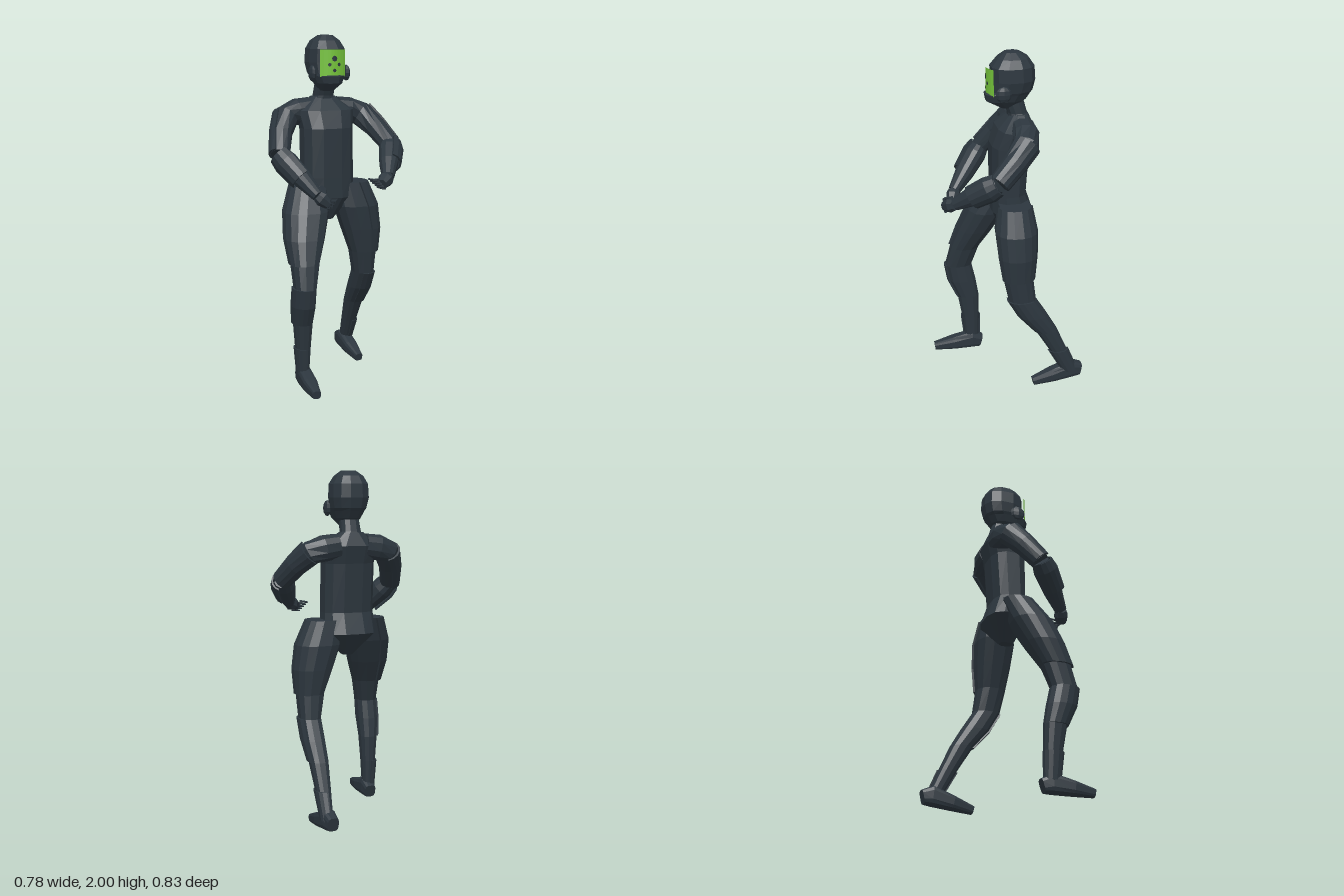
import * as THREE from 'three';

const suit = new THREE.MeshStandardMaterial({ color: 0x2c363e, flatShading: true });
suit.name = 'dark suit';
const glow = new THREE.MeshStandardMaterial({ color: 0x74c23a, flatShading: true });
glow.name = 'green visor';
const V = (x, y, z) => new THREE.Vector3(x, y, z);
const UP = V(0, 1, 0);

// Loft through sections { c: centre, a, b: radii }. level keeps the rings horizontal.
// arc: [middle, half width] in degrees makes an armour shell instead of a full ring.
function loft(sections, { n = 12, k = 0.85, level = false, arc = null } = {}) {
  const pos = [], index = [], end = sections.length - 1, last = end * n;
  sections.forEach(({ c, a, b }, j) => {
    const t = level ? UP : sections[Math.min(j + 1, end)].c.clone().sub(sections[Math.max(j - 1, 0)].c).normalize();
    const u = level ? V(1, 0, 0) : t.clone().cross(UP).normalize();
    const v = u.clone().cross(t);
    for (let i = 0; i < n; i++) {
      let angle = ((i + 0.5) / n) * Math.PI * 2, scale = 1;
      if (arc) {
        const inner = i >= n / 2, f = (inner ? n - 1 - i : i) / (n / 2 - 1);
        angle = THREE.MathUtils.degToRad(arc[0] + arc[1] * (2 * f - 1));
        scale = inner ? 0.86 : 1;
      }
      const bulge = q => Math.sign(q) * Math.abs(q) ** k * scale;
      pos.push(...c.clone().addScaledVector(u, a * bulge(Math.cos(angle))).addScaledVector(v, b * bulge(Math.sin(angle))));
    }
  });
  for (let j = 0; j < last; j += n) {
    for (let i = 0; i < n; i++) {
      const p = j + i, q = j + (i + 1) % n;
      index.push(p, p + n, q, q, p + n, q + n);
    }
  }
  for (let i = 0; i < n / 2 - 1; i++) {
    const p = i, q = i + 1, r = n - 2 - i, s = n - 1 - i;
    index.push(p, q, r, p, r, s, last + p, last + r, last + q, last + p, last + s, last + r);
  }
  const g = new THREE.BufferGeometry();
  g.setAttribute('position', new THREE.Float32BufferAttribute(pos, 3));
  g.setIndex(index);
  g.computeVertexNormals();
  return g;
}

// Sections spaced evenly on a smooth path through the joints
function along(joints, a, b = a) {
  const path = new THREE.CatmullRomCurve3(joints);
  return a.map((r, i) => ({ c: path.getPoint(i / (a.length - 1)), a: r, b: b[i] }));
}
const grow = (sections, d) => sections.map(({ c, a, b }) => ({ c, a: a + d, b: b + d }));

export function createModel() {
  const model = new THREE.Group();
  const add = (name, geometry, material = suit) => {
    const mesh = new THREE.Mesh(geometry, material);
    mesh.name = name;
    model.add(mesh);
    return mesh;
  };

  // Torso, neck and helmet: rows of height, depth, half width, half depth
  const cx = -0.025;
  const column = (name, rows, k) => add(name, loft(
    rows.map(([y, z, a, b]) => ({ c: V(cx, y, z), a, b })), { level: true, k }));
  column('torso', [
    [0.95, -0.01, 0.03, 0.04], [1.08, -0.03, 0.16, 0.12], [1.2, -0.01, 0.153, 0.1],
    [1.48, -0.02, 0.153, 0.11], [1.58, -0.05, 0.17, 0.105], [1.655, -0.075, 0.07, 0.05],
  ], 0.75);
  column('neck', [[1.6, -0.08, 0.085, 0.065], [1.66, -0.065, 0.06, 0.055], [1.75, -0.035, 0.055, 0.06]]);
  column('helmet', [
    [1.69, -0.01, 0.04, 0.04], [1.735, 0, 0.075, 0.113], [1.775, -0.01, 0.092, 0.13],
    [1.79, -0.03, 0.1, 0.12], [1.85, -0.04, 0.112, 0.124], [1.925, -0.037, 0.108, 0.122],
    [1.97, -0.04, 0.082, 0.088], [2, -0.035, 0.04, 0.045],
  ]);
  for (const s of [-1, 1]) {
    const guard = add('cheekGuard', new THREE.SphereGeometry(0.045, 8, 6));
    guard.scale.x = 0.4;
    guard.position.set(cx + s * 0.102, 1.79, 0.03);
  }

  // Curved visor and its dark spots
  const wrap = (g, x, y, lift) => {
    g.translate(x, y, 0);
    const p = g.attributes.position;
    for (let i = 0; i < p.count; i++) p.setZ(i, 0.108 + lift - 5 * p.getX(i) ** 2);
    g.translate(cx, 0, 0);
    g.computeVertexNormals();
    return g;
  };
  add('visor', wrap(new THREE.PlaneGeometry(0.15, 0.15, 8, 2), 0, 1.847, 0), glow);
  add('visorSpot', wrap(new THREE.CircleGeometry(0.016, 8), 0, 1.873, 0.003));
  for (const i of [-1, 0, 1]) {
    add('visorSpot', wrap(new THREE.CircleGeometry(0.01, 8), i * 0.028, 1.808 + Math.abs(i) * 0.032, 0.003));
  }

  const sides = [
    {
      name: 'right', s: -1,
      arm: [V(-0.1, 1.58, -0.08), V(-0.25, 1.545, -0.065), V(-0.34, 1.35, 0.085)],
      wrist: V(-0.19, 1.14, 0.27), knuckle: V(-0.135, 1.09, 0.295),
      reach: V(0.03, 0, -0.005), curl: V(0.015, 0, -0.02), spread: V(0, 0.012, 0.015),
      leg: [V(-0.243, 0.09, 0.17), V(-0.252, 0.4, 0.19), V(-0.258, 0.62, 0.245), V(-0.22, 0.88, 0.145), V(-0.145, 1.16, 0.01)],
      heel: V(-0.238, 0.02, 0.115), toe: V(-0.253, 0.02, 0.41),
    },
    {
      name: 'left', s: 1,
      arm: [V(0.06, 1.58, -0.08), V(0.21, 1.545, -0.065), V(0.318, 1.38, 0.11)],
      wrist: V(0.205, 1.23, 0.33), knuckle: V(0.145, 1.2, 0.38),
      reach: V(-0.02, 0, -0.01), curl: V(-0.01, 0, -0.045), spread: V(0.013, -0.012, 0),
      leg: [V(0.23, 0.08, -0.34), V(0.223, 0.38, -0.19), V(0.22, 0.6, -0.045), V(0.188, 0.88, -0.02), V(0.115, 1.16, -0.02)],
      heel: V(0.222, 0.03, -0.408), toe: V(0.231, 0, -0.113),
    },
  ];
  for (const { name, s, arm, wrist, knuckle, reach, curl, spread, leg, heel, toe } of sides) {
    // Arm with armour shells on the outside
    const upper = along(arm, [0.07, 0.075, 0.07, 0.06, 0.053]);
    const fore = along([arm[2], wrist], [0.05, 0.062, 0.054, 0.034]);
    const armShell = { n: 14, k: 1, arc: [90 + s * 90, 70] };
    add(name + 'UpperArm', loft(upper));
    add(name + 'Forearm', loft(fore));
    add(name + 'UpperArmPlate', loft(grow(upper.slice(2), 0.013), armShell));
    add(name + 'ForearmPlate', loft(grow(fore.slice(0, 3), 0.019), armShell));

    // Hand with curled digits
    add(name + 'Hand', loft(along([wrist, knuckle], [0.033, 0.042, 0.028]), { n: 8 }));
    for (let i = -2; i <= 2; i++) {
      const root = knuckle.clone().addScaledVector(spread, i);
      const bend = root.clone().add(reach);
      add(name + 'Finger', loft(along([root, bend, bend.clone().add(curl)], [0.009, 0.007, 0.005]), { n: 6 }));
    }

    // Leg from ankle to hip
    const limb = along(leg,
      [0.032, 0.043, 0.054, 0.062, 0.062, 0.08, 0.112, 0.128, 0.105],
      [0.042, 0.053, 0.066, 0.083, 0.08, 0.086, 0.105, 0.115, 0.09]);
    const shell = (turn, half) => ({ level: true, n: 16, k: 0.9, arc: [90 - s * turn, half] });
    add(name + 'Leg', loft(limb, { level: true }));
    add(name + 'ThighPlate', loft(grow(limb.slice(5), 0.012), shell(88, 73)));
    add(name + 'ShinGuard', loft(grow(limb.slice(2, 5), 0.01), shell(55, 75)));
    add(name + 'AnkleGuard', loft(grow(limb.slice(0, 2), 0.009), shell(90, 90)));

    // Foot, resting on its sole
    const foot = along([heel, toe], [0.034, 0.041, 0.042, 0.024], [0.04, 0.057, 0.041, 0.024]);
    for (const section of foot) section.c.y += section.b;
    add(name + 'Foot', loft(foot, { k: 0.6 }));
  }
  return model;
}
